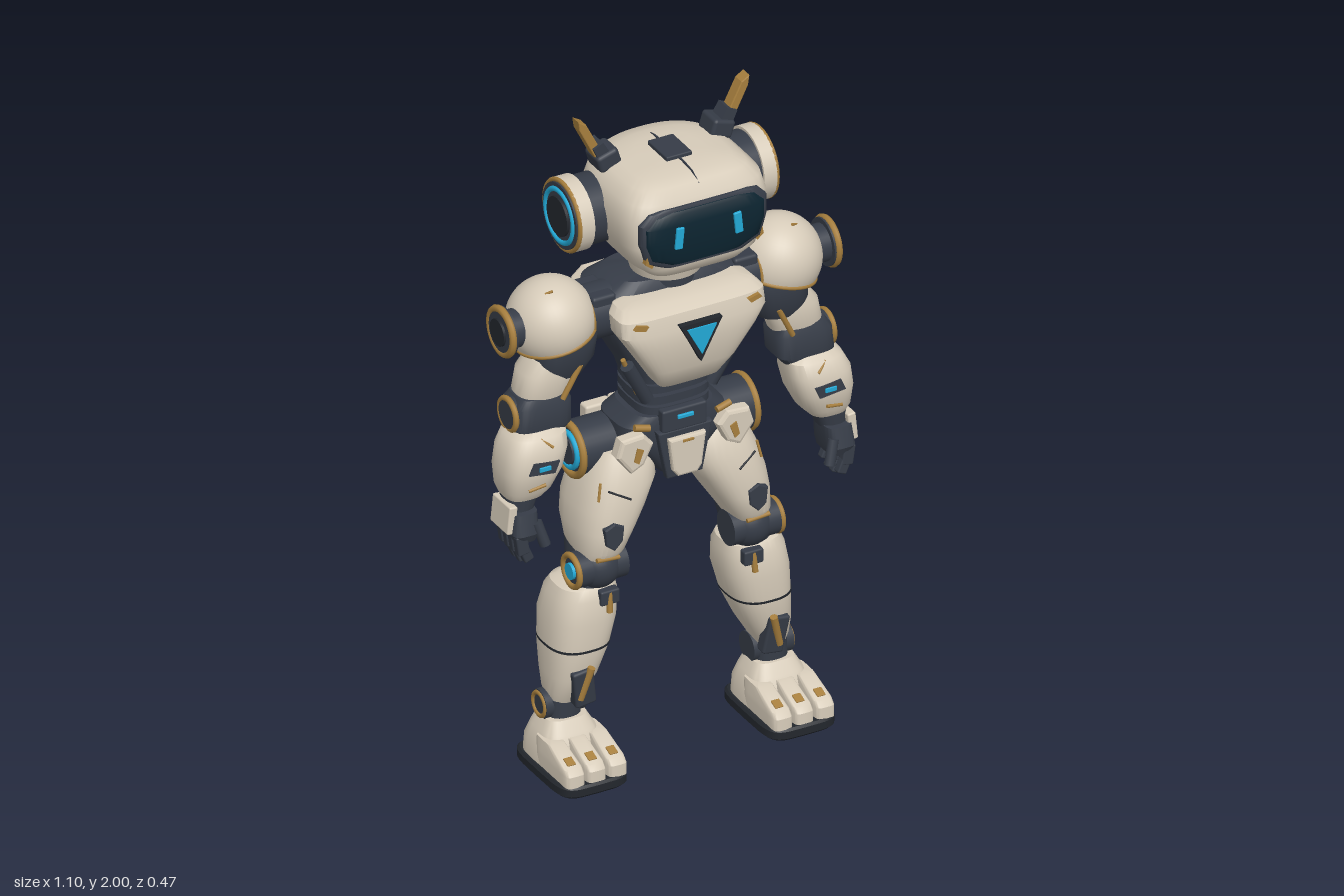
import * as THREE from 'three';
import { toCreasedNormals } from 'three/addons/utils/BufferGeometryUtils.js';
import { RoundedBoxGeometry } from 'three/addons/geometries/RoundedBoxGeometry.js';

const mat = (name, color, side = THREE.FrontSide) => new THREE.MeshStandardMaterial({ name, color, side });
const cream = mat('cream shell', 0xd6cbb9, THREE.DoubleSide);
const dark = mat('charcoal frame', 0x363c47);
const black = mat('sole black', 0x23272d);
const gold = mat('brass trim', 0xa67e3d);
const blue = mat('cyan light', 0x22a9d6);
const glass = mat('visor glass', 0x0c2430);

export function createModel() {
  const root = new THREE.Group();
  root.name = 'robot';
  let parent = root;
  const add = (name, geo, m, x = 0, y = 0, z = 0, rx = 0, ry = 0, rz = 0) => {
    const mesh = new THREE.Mesh(geo, m);
    mesh.name = name;
    mesh.position.set(x, y, z);
    mesh.rotation.set(rx, ry, rz);
    parent.add(mesh);
    return mesh;
  };
  const group = (name, build) => {
    const old = parent;
    const g = new THREE.Group();
    g.name = name;
    old.add(g);
    parent = g;
    build();
    parent = old;
  };
  // Stacked superellipse rings, bottom to top: [y, centreX, halfWidth, zFront, zBack]
  const loft = (name, m, rows, s = 1, nf = 2.6, nb = nf, crease = 0.6, N = 36) => {
    const pos = [], idx = [];
    for (const [y, cx, rx, zf, zb] of rows) for (let i = 0; i < N; i++) {
      const a = i / N * Math.PI * 2, c = Math.cos(a), q = Math.sin(a), p = 2 / (q >= 0 ? nf : nb);
      pos.push(cx * s + Math.sign(c) * rx * Math.abs(c) ** p, y,
        (zf + zb) / 2 + Math.sign(q) * (zf - zb) / 2 * Math.abs(q) ** p);
    }
    const L = rows.length;
    for (let j = 0; j < L - 1; j++) for (let i = 0; i < N; i++) {
      const a = j * N + i, b = j * N + (i + 1) % N;
      idx.push(a, a + N, b, b, a + N, b + N);
    }
    for (const j of [0, L - 1]) {
      const [y, cx, , zf, zb] = rows[j], k = pos.length / 3;
      pos.push(cx * s, y, (zf + zb) / 2);
      for (let i = 0; i < N; i++) {
        const a = j * N + i, b = j * N + (i + 1) % N;
        if (j) idx.push(k, b, a); else idx.push(k, a, b);
      }
    }
    const g = new THREE.BufferGeometry();
    g.setAttribute('position', new THREE.Float32BufferAttribute(pos, 3));
    g.setIndex(idx);
    return add(name, toCreasedNormals(g, crease), m);
  };
  const box = (name, m, x, y, z, w, h, d, rz = 0, rx = 0) =>
    add(name, new RoundedBoxGeometry(w, h, d, 2, Math.min(w, h, d) * 0.2), m, x, y, z, rx, 0, rz);
  // Flat outline in x, y pushed from z0 to z1
  const plate = (name, m, pts, z0, z1, s = 1, bevel = 0) => add(name, new THREE.ExtrudeGeometry(
    new THREE.Shape(pts.map(([x, y]) => new THREE.Vector2(x * s, y))),
    { depth: z1 - z0 - 2 * bevel, bevelEnabled: bevel > 0, bevelSize: bevel, bevelThickness: bevel, bevelOffset: -bevel, bevelSegments: 2 }), m, 0, 0, z0 + bevel);
  const drum = (name, m, x0, x1, y, z, r, s) =>
    add(name, new THREE.CylinderGeometry(r, r, x1 - x0, 32), m, s * (x0 + x1) / 2, y, z, 0, 0, Math.PI / 2);
  const ring = (name, m, x, y, z, r, t, s) => add(name, new THREE.TorusGeometry(r, t, 8, 36), m, x * s, y, z, 0, Math.PI / 2);
  const rod = (name, m, a, b, r, s) => {
    const A = new THREE.Vector3(a[0] * s, a[1], a[2]), B = new THREE.Vector3(b[0] * s, b[1], b[2]);
    const mesh = add(name, new THREE.CylinderGeometry(r, r, A.distanceTo(B), 10), m);
    mesh.position.copy(A).lerp(B, 0.5);
    mesh.quaternion.setFromUnitVectors(new THREE.Vector3(0, 1, 0), B.sub(A).normalize());
  };

  group('head', () => {
    loft('headShell', cream, [[1.56, 0, .12, .15, -.12], [1.575, 0, .15, .19, -.15], [1.61, 0, .19, .213, -.185], [1.68, 0, .222, .213, -.208],
      [1.76, 0, .226, .212, -.215], [1.81, 0, .212, .20, -.20], [1.84, 0, .18, .17, -.165], [1.852, 0, .15, .13, -.12], [1.857, 0, .09, .08, -.08]], 1, 5.5, 2.4, 0.7, 64);
    loft('visorFrame', dark, [[1.615, 0, .13, .216, .15], [1.64, 0, .18, .218, .15], [1.70, 0, .198, .218, .15], [1.76, 0, .198, .217, .15], [1.79, 0, .17, .213, .15], [1.797, 0, .14, .21, .15]], 1, 5);
    loft('visor', glass, [[1.625, 0, .12, .222, .15], [1.65, 0, .17, .228, .15], [1.70, 0, .187, .23, .15], [1.75, 0, .187, .229, .15], [1.78, 0, .16, .222, .15], [1.788, 0, .13, .216, .15]], 1, 4.5);
    loft('crownSeam', dark, [[1.835, 0, .003, .178, -.11], [1.856, 0, .003, .14, -.1], [1.861, 0, .003, .1, -.08]]);
    box('crownPlate', dark, 0, 1.859, .01, .08, .02, .11);
    box('rearLight', blue, 0, 1.73, -.225, .04, .015, .025);
    for (const s of [1, -1]) {
      box('eye', blue, s * .092, 1.713, .228, .024, .066, .016, s * .1);
      plate('cheekTrim', gold, [[.165, 1.625], [.185, 1.64], [.18, 1.665], [.16, 1.63]], .19, .208, s);
      box('rearVent', dark, s * .075, 1.71, -.212, .068, .085, .04);
      for (let i = 0; i < 3; i++) box('ventSlat', black, s * .075, 1.685 + i * .025, -.232, .05, .01, .008);
      drum('earMount', dark, .19, .275, 1.71, -.04, .1, s);
      drum('earShell', cream, .265, .31, 1.71, -.04, .108, s);
      ring('earTrim', gold, .308, 1.71, -.04, .102, .007, s);
      drum('earCap', dark, .30, .318, 1.71, -.04, .097, s);
      ring('earLight', blue, .317, 1.71, -.04, .078, .008, s);
      drum('earCore', black, .31, .326, 1.71, -.04, .058, s);
      box('antennaBase', dark, s * .178, 1.86, -.045, .07, .055, .08, -s * .3);
      plate('antennaSocket', dark, [[.165, 1.87], [.205, 1.86], [.225, 1.905], [.195, 1.92]], -.066, -.014, s);
      plate('antennaBlade', gold, [[.19, 1.88], [.214, 1.87], [.264, 1.97], [.268, 2], [.243, 1.985]], -.06, -.022, s, .003);
    }
  });

  group('neck', () => {
    add('neckColumn', new THREE.CylinderGeometry(.085, .09, .15, 32), dark, 0, 1.51, -.015);
    add('neckCollar', new THREE.CylinderGeometry(.108, .1, .028, 32), cream, 0, 1.5, -.015);
    add('neckTrim', new THREE.TorusGeometry(.088, .006, 8, 32), gold, 0, 1.535, -.015, Math.PI / 2);
    add('neckRib', new THREE.TorusGeometry(.088, .009, 8, 32), dark, 0, 1.555, -.015, Math.PI / 2);
  });

  group('torso', () => {
    loft('torsoCore', dark, [[1.03, 0, .11, .07, -.11], [1.12, 0, .105, .06, -.125], [1.18, 0, .12, .065, -.145], [1.27, 0, .17, .08, -.165],
      [1.37, 0, .21, .08, -.175], [1.45, 0, .22, .07, -.165], [1.485, 0, .16, .05, -.13]], 1, 3.5);
    loft('chestPlate', cream, [[1.165, 0, .075, .10, .02], [1.19, 0, .095, .135, .03], [1.25, 0, .135, .163, .04], [1.34, 0, .195, .178, .05],
      [1.385, 0, .225, .176, .05], [1.43, 0, .225, .163, .04], [1.45, 0, .205, .13, .03], [1.457, 0, .17, .10, .03]], 1, 5);
    plate('emblemFrame', black, [[-.066, 1.402], [.066, 1.402], [0, 1.277]], .155, .19);
    plate('emblemLight', blue, [[-.046, 1.388], [.046, 1.388], [0, 1.302]], .18, .195);
    for (let i = 0; i < 4; i++) {
      box('spineBlock', dark, 0, 1.27 + i * .045, -.185, .045, .036, .045);
      box('spineLight', blue, 0, 1.27 + i * .045, -.207, .028, .012, .012);
    }
    for (let i = 0; i < 3; i++) loft('waistRib', dark, [[1.065 + i * .034, 0, .112, .078, -.135], [1.088 + i * .034, 0, .112, .078, -.135]], 1, 3.5);
    box('waistLight', blue, 0, 1.06, .098, .05, .012, .012);
    for (const s of [1, -1]) {
      plate('backPanel', cream, [[.032, 1.40], [.06, 1.43], [.16, 1.43], [.195, 1.40], [.18, 1.33], [.09, 1.23], [.04, 1.235]], -.205, -.15, s, .01);
      plate('chestTab', gold, [[.155, 1.42], [.19, 1.43], [.2, 1.418], [.165, 1.407]], .163, .174, s);
      rod('waistStrut', gold, [.18, 1.27, .07], [.125, 1.14, .05], .007, s);
      rod('waistPiston', dark, [.17, 1.25, .075], [.10, 1.12, .06], .02, s);
      drum('collarJoint', dark, .18, .275, 1.395, -.02, .08, s);
      box('collarBlock', dark, s * .222, 1.445, -.02, .075, .05, .13);
      ring('collarTrim', gold, .262, 1.395, -.02, .079, .005, s);
    }
  });

  group('pelvis', () => {
    loft('pelvisCore', dark, [[.86, 0, .045, .05, -.07], [.92, 0, .10, .075, -.12], [.98, 0, .165, .08, -.14], [1.03, 0, .165, .08, -.14], [1.06, 0, .125, .075, -.125]], 1, 3.5);
    box('beltBuckle', dark, 0, 1.05, .08, .14, .07, .035);
    plate('frontGuardFrame', dark, [[-.085, 1.02], [.085, 1.02], [.055, .87], [-.055, .87]], .07, .098, 1, .005);
    plate('frontGuard', cream, [[-.058, 1.0], [.058, 1.0], [.045, .9], [.03, .88], [-.03, .88], [-.045, .9]], .085, .115, 1, .007);
    box('guardTrim', gold, 0, .99, .114, .035, .008, .008);
    for (const s of [1, -1]) {
      plate('hipSkirt', cream, [[.10, 1.0], [.13, 1.035], [.20, 1.03], [.215, .98], [.17, .92], [.13, .94]], .06, .105, s, .01);
      plate('hipSkirtInset', gold, [[.135, .99], [.155, 1.0], [.165, .96], [.15, .95]], .1, .109, s);
      rod('beltPin', gold, [.105, 1.04, .085], [.15, 1.05, .08], .01, s);
      box('rearPouch', cream, s * .052, .975, -.15, .09, .085, .055);
      box('sidePouch', cream, s * .15, 1.0, -.135, .085, .055, .04);
      drum('hipJoint', dark, .15, .272, .948, -.06, .08, s);
      ring('hipTrim', gold, .272, .948, -.06, .075, .011, s);
      ring('hipLight', blue, .279, .948, -.06, .051, .008, s);
      drum('hipCap', dark, .26, .288, .948, -.06, .04, s);
    }
  });

  for (const s of [1, -1]) group(s > 0 ? 'leftArm' : 'rightArm', () => {
    // Shoulder dome with its hub
    add('shoulderDome', new THREE.SphereGeometry(.126, 40, 24, 0, Math.PI * 2, 0, Math.PI * .61), cream, s * .355, 1.402, -.025, 0, 0, -s * .25);
    add('domeTrim', new THREE.TorusGeometry(.118, .006, 8, 40), gold, s * .355 - s * .0106, 1.361, -.025, Math.PI / 2, s * -.25);
    rod('domeInlay', gold, [.375, 1.52, .025], [.425, 1.495, -.02 + .02], .004, s);
    drum('shoulderHub', dark, .44, .505, 1.408, -.02, .055, s);
    drum('shoulderDisc', dark, .495, .518, 1.408, -.02, .07, s);
    ring('shoulderDiscTrim', gold, .51, 1.408, -.02, .066, .011, s);
    drum('shoulderCap', black, .505, .525, 1.408, -.02, .04, s);
    // Upper arm and elbow
    loft('shoulderSocket', dark, [[1.25, .345, .07, .055, -.075], [1.30, .335, .092, .075, -.095], [1.37, .325, .092, .08, -.1], [1.43, .32, .07, .06, -.08]], s);
    loft('upperArm', cream, [[1.17, .40, .07, .045, -.065], [1.21, .395, .078, .055, -.075], [1.27, .38, .08, .06, -.08], [1.31, .37, .06, .05, -.07]], s);
    rod('upperArmPiston', gold, [.31, 1.29, .065], [.36, 1.19, .055], .008, s);
    loft('elbow', dark, [[1.09, .415, .07, .06, -.06], [1.115, .412, .088, .068, -.07], [1.18, .408, .088, .06, -.072], [1.205, .405, .072, .05, -.06]], s, 4);
    drum('elbowDisc', dark, .48, .505, 1.15, -.005, .05, s);
    ring('elbowTrim', gold, .498, 1.15, -.005, .046, .009, s);
    // Forearm with front display
    loft('forearm', cream, [[.915, .475, .055, .08, -.035], [.94, .468, .072, .095, -.05], [1.0, .455, .09, .11, -.06], [1.06, .443, .094, .11, -.06], [1.10, .432, .085, .09, -.055], [1.115, .43, .065, .07, -.045]], s, 3);
    plate('forearmPanel', dark, [[.40, 1.035], [.48, 1.045], [.495, 1.01], [.415, 1.0]], .1, .113, s);
    box('forearmLight', blue, s * .447, 1.022, .113, .035, .014, .008);
    rod('forearmInlay', gold, [.415, 1.075, .102], [.445, 1.10, .085], .004, s);
    rod('forearmTrim', gold, [.44, .965, .104], [.49, .955, .098], .005, s);
    // Hand
    loft('wrist', dark, [[.87, .49, .04, .075, -.02], [.93, .48, .05, .08, -.03]], s);
    loft('palm', dark, [[.795, .492, .033, .1, -.01], [.82, .495, .042, .11, -.015], [.88, .492, .04, .095, -.015]], s, 4);
    box('handGuard', cream, s * .533, .865, .035, .026, .085, .1, s * .1);
    for (let i = 0; i < 4; i++) {
      const z = -.002 + i * .031, low = i % 3 ? 0 : .012;
      box('fingerBase', dark, s * .51, .79, z, .036, .062, .026, -s * .15);
      box('fingerTip', dark, s * .498, .748 + low, z, .03, .052, .024, s * -.4);
    }
    rod('thumb', dark, [.465, .85, .095], [.445, .78, .11], .016, s);
  });

  for (const s of [1, -1]) group(s > 0 ? 'leftLeg' : 'rightLeg', () => {
    loft('thigh', cream, [[.645, .235, .055, .075, -.06], [.68, .228, .068, .098, -.11], [.74, .21, .088, .102, -.145], [.80, .188, .102, .10, -.158],
      [.87, .16, .11, .09, -.155], [.93, .148, .095, .07, -.13], [.96, .15, .07, .05, -.10]], s);
    plate('kneePlate', dark, [[.195, .765], [.225, .78], [.255, .765], [.25, .715], [.225, .695], [.2, .72]], .08, .108, s, .004);
    rod('thighSeam', black, [.17, .84, .1], [.23, .87, .078], .003, s);
    rod('thighInlay', gold, [.245, .89, .06], [.255, .84, .068], .004, s);
    // Knee
    add('kneeBall', new THREE.SphereGeometry(.072, 32, 20), dark, s * .237, .62, .02);
    loft('kneeHousing', dark, [[.54, .25, .06, .055, -.07], [.60, .242, .065, .06, -.065], [.69, .23, .06, .06, -.115]], s);
    drum('kneeAxle', dark, .165, .318, .62, .03, .052, s);
    ring('kneeTrim', gold, .318, .62, .03, .046, .009, s);
    drum('kneeLight', blue, .31, .327, .62, .03, .024, s);
    rod('kneeBrace', gold, [.2, .66, .085], [.27, .665, .085], .007, s);
    rod('kneePiston', gold, [.225, .55, .075], [.228, .49, .082], .009, s);
    box('kneeClasp', dark, s * .225, .535, .068, .06, .045, .03);
    // Shin
    loft('shin', cream, [[.205, .322, .045, .03, -.065], [.235, .318, .055, .045, -.08], [.29, .303, .072, .067, -.105], [.37, .285, .09, .076, -.128],
      [.46, .271, .1, .08, -.137], [.53, .262, .095, .073, -.12], [.56, .258, .085, .06, -.10], [.57, .255, .065, .045, -.08]], s);
    loft('shinSeam', black, [[.376, .284, .0925, .0785, -.128], [.382, .283, .0932, .079, -.128]], s);
    box('shinGuard', dark, s * .3, .265, .055, .065, .12, .04, -s * .15, .12);
    rod('shinPiston', gold, [.285, .33, .083], [.312, .23, .066], .011, s);
    // Ankle
    loft('ankle', dark, [[.12, .325, .05, .03, -.075], [.21, .322, .052, .03, -.075]], s);
    drum('ankleAxle', dark, .262, .388, .188, -.028, .044, s);
    ring('ankleTrim', gold, .387, .188, -.028, .034, .007, s);
    // Foot
    loft('sole', black, [[0, .325, .102, .192, -.107], [.008, .325, .11, .2, -.115], [.03, .325, .11, .2, -.115], [.037, .325, .104, .194, -.109]], s, 5);
    loft('heel', cream, [[.035, .325, .098, .10, -.105], [.085, .325, .095, .09, -.1], [.125, .325, .08, .065, -.085], [.158, .325, .062, .04, -.072]], s, 3.5);
    for (const i of [-1, 0, 1]) {
      const x = .325 + i * .066;
      loft('toe', cream, [[.035, x, .031, .193, 0], [.07, x, .031, .192, 0], [.085, x, .03, .178, 0], [.118, x, .025, .085, 0]], s, 6);
      box('toeTrim', gold, s * x, .093, .148, .026, .012, .03, 0, .35);
    }
  });
  return root;
}
